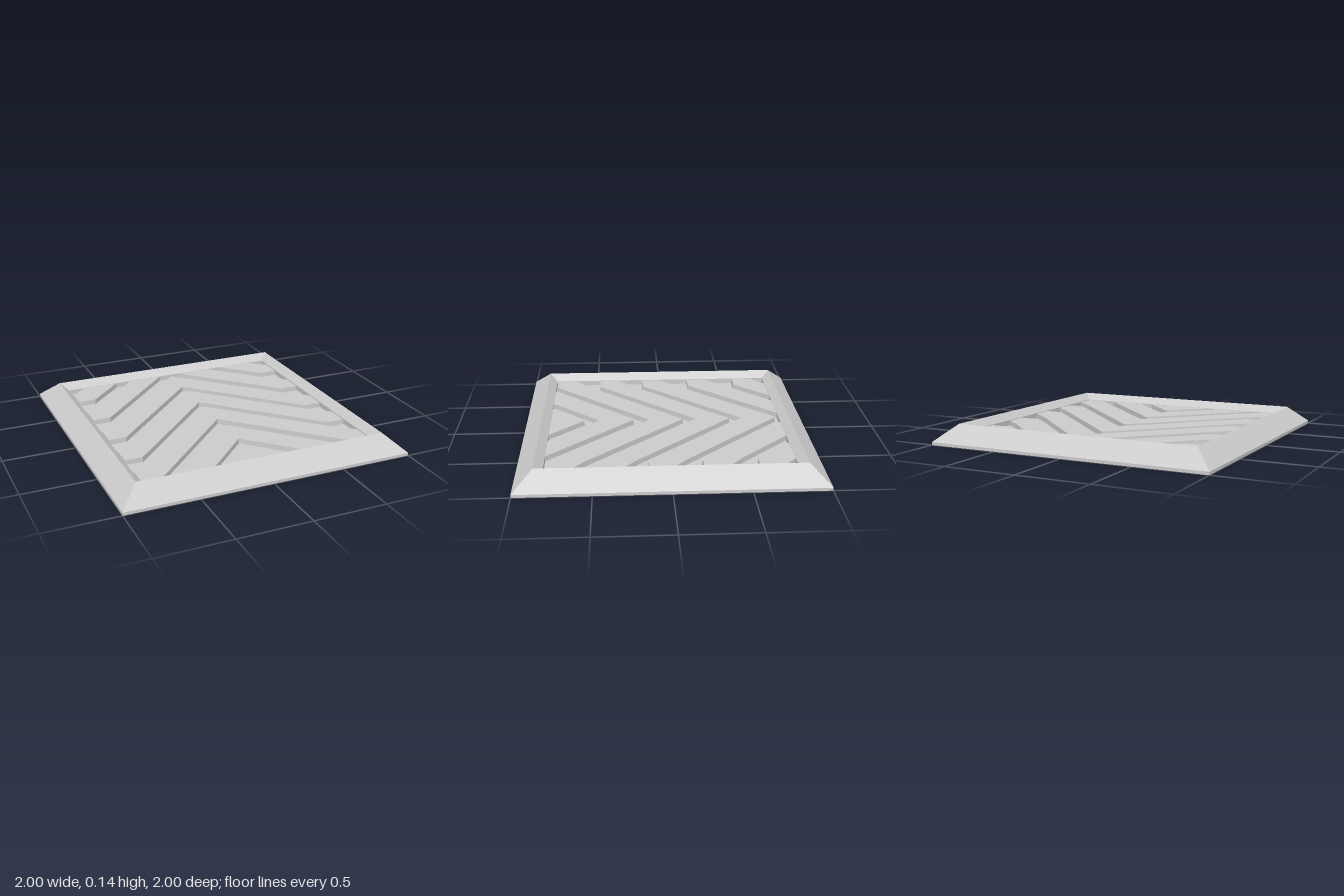
import * as THREE from 'three';

const EDGE = 0.82;         // bars run this far in z, ending inside the frame
const TOP = 0.085, FLOOR = 0.05, DRAFT = 0.005;

// Cut a polygon of [x, z] points to z * sign <= EDGE
function clip(points, sign) {
  const out = [];
  points.forEach((a, i) => {
    const b = points[(i + 1) % points.length];
    const da = EDGE - a[1] * sign, db = EDGE - b[1] * sign;
    if (da >= 0) out.push(a);
    if (da * db < 0) {
      const t = da / (da - db);
      out.push([a[0] + (b[0] - a[0]) * t, sign * EDGE]);
    }
  });
  return out;
}

// Outline of half a chevron whose point lies at z = o, inset by d
function halfOutline(o, d) {
  const k = d * 1.41, end = o + 0.945 - d;
  const points = [
    [0, o + k], [0.67, o + 0.67 + k], [0.813 - d, o + 0.785 + k],
    [0.813 - d, end], [0.685 - d * 0.4, end], [0, o + 0.257 - k],
  ];
  return clip(clip(points, 1), -1);
}

// A chevron tread: tapered walls and a flat top, open below
function chevron(o) {
  const low = halfOutline(o, 0), high = halfOutline(o, DRAFT);
  const pos = [];
  for (const side of [1, -1]) {
    const tri = (a, b, c) => {
      for (const p of side > 0 ? [a, b, c] : [a, c, b]) pos.push(p[0] * side, p[1], p[2]);
    };
    const bottom = low.map(([x, z]) => [x, 0, z]);
    const top = high.map(([x, z]) => [x, TOP, z]);
    bottom.forEach((a, i) => {
      const j = (i + 1) % bottom.length;
      if (a[0] === 0 && bottom[j][0] === 0) return; // the halves join here
      tri(a, top[i], top[j]);
      tri(a, top[j], bottom[j]);
    });
    const flat = high.map(([x, z]) => new THREE.Vector2(x, z));
    for (const [i, j, k] of THREE.ShapeUtils.triangulateShape(flat, [])) {
      const turn = flat[j].clone().sub(flat[i]).cross(flat[k].clone().sub(flat[i]));
      if (turn < 0) tri(top[i], top[j], top[k]);
      else tri(top[i], top[k], top[j]);
    }
  }
  const geometry = new THREE.BufferGeometry();
  geometry.setAttribute('position', new THREE.Float32BufferAttribute(pos, 3));
  geometry.computeVertexNormals();
  return geometry;
}

export function createModel() {
  const model = new THREE.Group();
  const grey = new THREE.MeshStandardMaterial({
    color: 0xcccccc, flatShading: true, side: THREE.DoubleSide,
  });
  const add = (geometry, name, parent = model) => {
    const mesh = new THREE.Mesh(geometry, grey);
    mesh.name = name;
    parent.add(mesh);
    return mesh;
  };

  // Square bevelled frame, a hollow shell: a four-sided lathe
  const profile = [[1, 0], [1, 0.02], [0.87, 0.135], [0.815, 0.087], [0.815, FLOOR]]
    .map(([r, y]) => new THREE.Vector2(r * Math.SQRT2, y));
  const frame = new THREE.LatheGeometry(profile, 4, Math.PI / 4).toNonIndexed();
  frame.computeVertexNormals();
  add(frame, 'frame');

  // Thin floor between the treads
  const floor = add(new THREE.PlaneGeometry(1.63, 1.63).rotateX(-Math.PI / 2), 'floor');
  floor.position.y = FLOOR;

  // Row of raised chevron treads, pointing to the back
  const treads = new THREE.Group();
  treads.name = 'chevronTreads';
  model.add(treads);
  [-1.51, -1.15, -0.795, -0.465, -0.133, 0.22, 0.57].forEach((o, i) =>
    add(chevron(o), `chevronTread${i + 1}`, treads));

  return model;
}
